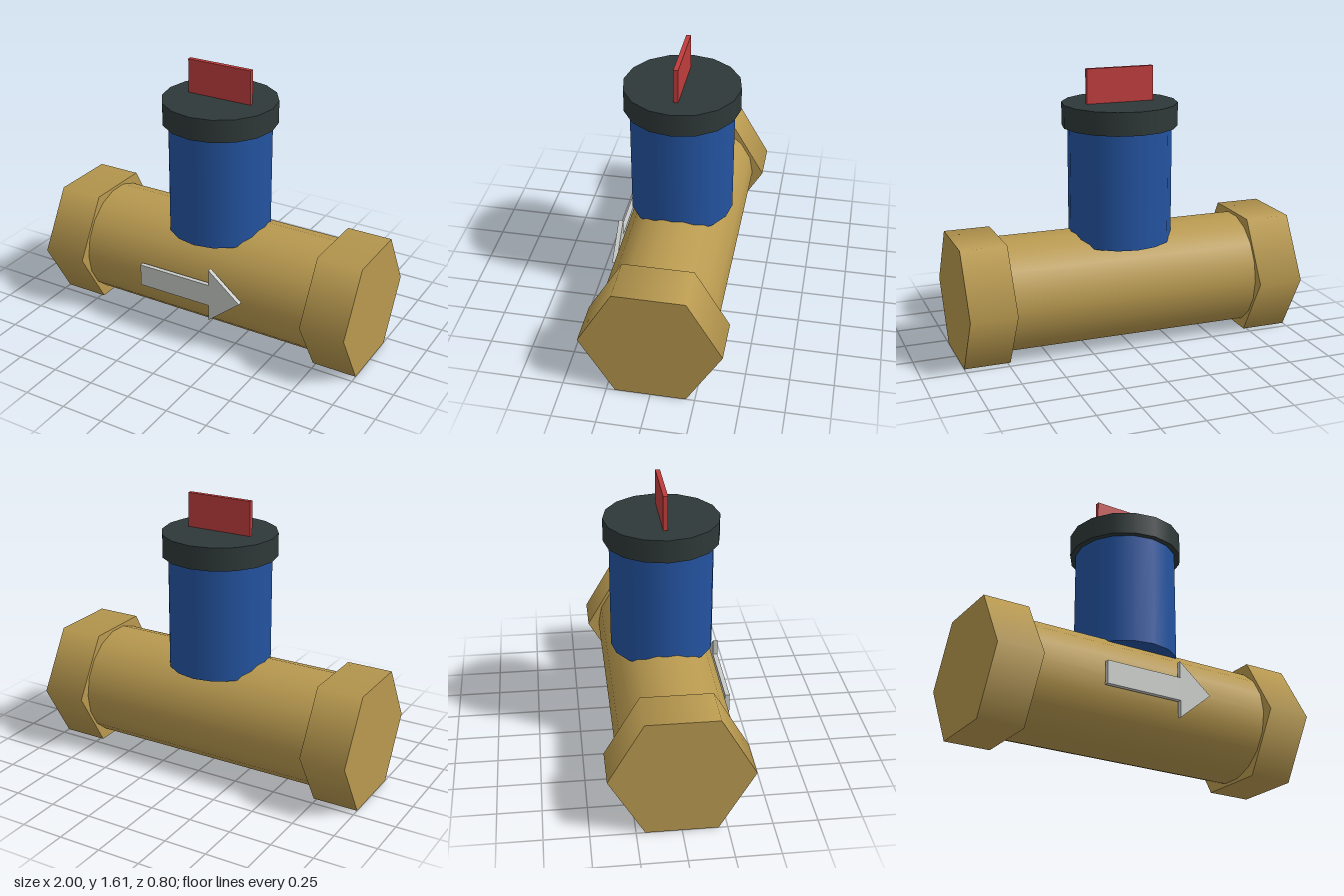
import * as THREE from 'three';

const material = (name, color) => {
  const m = new THREE.MeshStandardMaterial({ color });
  m.name = name;
  return m;
};

export function createModel() {
  const brass = material('brass', 0xb8994f);
  const blue = material('blue', 0x2353a0);
  const black = material('charcoal', 0x2f3838);
  const red = material('red', 0xc03c3c);
  const grey = material('light grey', 0xc8cbc7);

  const model = new THREE.Group();
  model.name = 'valve';
  const axisY = 0.346; // height of the pipe's centre line

  const add = (name, geometry, mat, x, y, z = 0) => {
    const mesh = new THREE.Mesh(geometry, mat);
    mesh.name = name;
    mesh.position.set(x, y, z);
    model.add(mesh);
    return mesh;
  };
  const cylinder = (r, h, sides) => new THREE.CylinderGeometry(r, r, h, sides);

  // Pipe body with a hexagonal nut at each end
  add('pipe', cylinder(0.333, 1.47, 18), brass, 0, axisY).rotation.z = -Math.PI / 2;
  for (const side of [-1, 1]) {
    const nut = add(side > 0 ? 'leftNut' : 'rightNut', cylinder(0.4, 0.267, 6), brass, side * 0.8665, axisY);
    nut.rotation.z = -Math.PI / 2;
  }

  // Upright actuator, its cap and the flat handle
  add('actuator', cylinder(0.3, 0.667, 16), blue, 0, 0.9465);
  add('cap', cylinder(0.333, 0.133, 16), black, 0, 1.3465);
  add('handle', new THREE.BoxGeometry(0.4, 0.2, 0.027), red, 0, 1.513);

  // Flow arrow on the front of the pipe
  const arrow = new THREE.Shape([
    [-0.333, -0.067], [0.133, -0.067], [0.133, -0.165], [0.333, 0],
    [0.133, 0.165], [0.133, 0.067], [-0.333, 0.067],
  ].map(([x, y]) => new THREE.Vector2(x, y)));
  add('flowArrow', new THREE.ExtrudeGeometry(arrow, { depth: 0.027, bevelEnabled: false }), grey, 0, 0.349, 0.333);

  return model;
}
